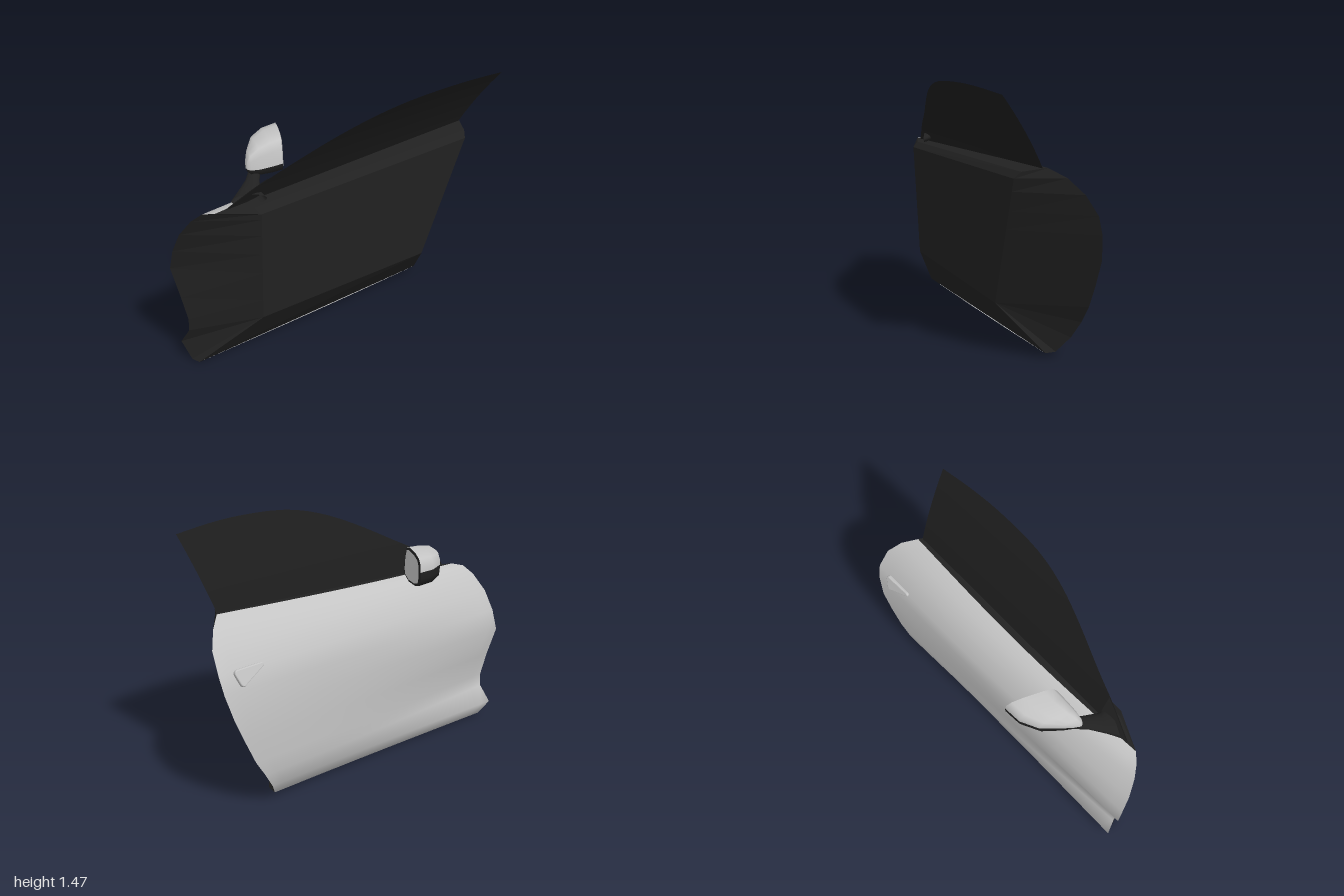
import * as THREE from 'three';
import { mergeVertices } from 'three/addons/utils/BufferGeometryUtils.js';

const lerp = THREE.MathUtils.lerp;
const clamp = THREE.MathUtils.clamp;
const V = (x, y, z) => new THREE.Vector3(x, y, z);
const mix = (a, b, t) => a.clone().lerp(b, t);

// Surface through rows of points; front side is rowDirection x columnDirection
function grid(rows, smooth = true) {
  const pos = [];
  const put = (...ps) => ps.forEach((p) => pos.push(p.x, p.y, p.z));
  for (let r = 0; r < rows.length - 1; r++) {
    for (let c = 0; c < rows[r].length - 1; c++) {
      const a = rows[r][c], b = rows[r][c + 1], d = rows[r + 1][c], e = rows[r + 1][c + 1];
      put(a, d, b, b, d, e);
    }
  }
  let g = new THREE.BufferGeometry();
  g.setAttribute('position', new THREE.Float32BufferAttribute(pos, 3));
  if (smooth) g = mergeVertices(g, 1e-5);
  g.computeVertexNormals();
  return g;
}

export function createModel() {
  const material = (name, color) => {
    const m = new THREE.MeshStandardMaterial({ color, side: THREE.DoubleSide });
    m.name = name;
    return m;
  };
  const silver = material('silverPaint', 0xc4c4c4);
  const dark = material('darkTrim', 0x212121);
  const tint = material('tintedGlass', 0x1c1c1c);

  const door = new THREE.Group();
  door.name = 'carDoor';
  const add = (name, geometry, mat, parent = door) => {
    const m = new THREE.Mesh(geometry, mat);
    m.name = name;
    parent.add(m);
    return m;
  };

  // Door edges from sill to window line
  const front = [
    [-0.11, 0.005, 0.94], [-0.165, 0, 0.955], [-0.23, 0.1, 0.98], [-0.17, 0.2, 0.955],
    [-0.165, 0.28, 0.955], [-0.19, 0.42, 0.975], [-0.235, 0.6, 1], [-0.205, 0.72, 0.99],
    [-0.15, 0.84, 0.97], [-0.08, 0.94, 0.93], [-0.03, 0.99, 0.89], [0.02, 1, 0.84],
  ].map((p) => V(...p));
  const rear = [
    [-0.08, 0.03, -0.66], [-0.14, 0.03, -0.665], [-0.2, 0.12, -0.72], [-0.225, 0.22, -0.78],
    [-0.23, 0.32, -0.84], [-0.23, 0.46, -0.9], [-0.225, 0.6, -0.955], [-0.2, 0.74, -0.99],
    [-0.17, 0.84, -1], [-0.1, 0.95, -0.985], [-0.03, 1.03, -0.93], [0.04, 1.075, -0.86],
  ].map((p) => V(...p));
  const last = front.length - 1;

  // Painted outer skin, bulging slightly at the shoulder
  const skin = front.map((f, i) => {
    const bulge = 0.03 * clamp((i - 6) / 2, 0, 1);
    return Array.from({ length: 25 }, (_, k) => {
      const t = k / 24, p = mix(f, rear[i], t);
      p.x = lerp(f.x, rear[i].x, Math.sin((t * Math.PI) / 2)) - bulge * Math.sin(Math.PI * t);
      return p;
    });
  });
  add('outerSkin', grid(skin), silver);

  // Inner trim: flat panel, sloped sill, window ledge, and both door ends
  const frontLow = V(0.1, 0.3, 0.63), frontHigh = V(0.135, 0.975, 0.63);
  const rearLow = V(0.145, 0.3, -0.51), rearHigh = V(0.185, 1.02, -0.78);
  const ledgeRear = V(0.155, 1.055, -0.8), ledgeFront = V(0.1, 1.005, 0.65);
  const along = (a, b, p) => mix(a, b, clamp((p.y - a.y) / (b.y - a.y), 0, 1));
  add('innerPanel', grid([
    [rear[0], front[0]], [rearLow, frontLow], [rearHigh, frontHigh],
    [ledgeRear, ledgeFront], [rear[last], front[last]],
  ], false), dark);
  add('frontEnd', grid(front.map((p) => [along(frontLow, frontHigh, p), p]), false), dark);
  add('rearEnd', grid(rear.map((p) => [p, along(rearLow, rearHigh, p)]), false), dark);
  add('ledgeRearCorner', grid([[rear[last], rearHigh], [ledgeRear, ledgeRear]], false), dark);
  add('ledgeFrontCorner', grid([[frontHigh, front[last]], [ledgeFront, ledgeFront]], false), dark);
  // Underside of the skin's top edge, closing the strip between skin and ledge
  add('windowSeal', grid([
    [V(0.06, 1.07, -0.85), V(0.03, 1.0, 0.82)],
    skin[last].filter((_, k) => k === 24 || k === 0).reverse(),
  ], false), dark);
  add('windowLedge', grid([skin[last].map((p, k) => mix(ledgeFront, ledgeRear, k / 24)), skin[last]]
    .map((row) => row.slice().reverse()), false), dark);

  // Curved window leaning inwards as it rises
  const roofLine = [
    [0.78, 1.0], [0.6, 1.12], [0.45, 1.2], [0.2, 1.33], [0, 1.41],
    [-0.2, 1.455], [-0.5, 1.47], [-0.7, 1.463], [-0.905, 1.445],
  ];
  const roofCurve = new THREE.CatmullRomCurve3(roofLine.map(([z, y]) => V(0, y, z)));
  const windowRows = (t0, t1, shift) => Array.from({ length: 11 }, (_, r) =>
    Array.from({ length: 25 }, (_, k) => {
      const top = roofCurve.getPoint(lerp(t0, t1, k / 24));
      const s = (0.78 - top.z) / 1.685;
      const low = V(0, lerp(0.985, 1.07, s), lerp(0.78, -0.845, s));
      const p = mix(low, top, r / 10), d = p.y - 0.99;
      p.x = 0.02 + 0.47 * d + 0.4 * d * d + shift;
      return p;
    }));
  add('window', grid(windowRows(0, 1, 0)), tint);
  add('windowCornerTrim', grid(windowRows(0, 0.16, -0.006)), dark);

  // Door handle
  const tri = new THREE.Shape();
  tri.moveTo(-0.07, 0.035);
  tri.quadraticCurveTo(-0.085, 0.03, -0.078, 0.01);
  tri.lineTo(-0.06, -0.04);
  tri.quadraticCurveTo(-0.05, -0.055, -0.035, -0.04);
  tri.lineTo(0.085, 0.025);
  tri.quadraticCurveTo(0.09, 0.035, 0.075, 0.037);
  tri.closePath();
  const handle = add('doorHandle', new THREE.ExtrudeGeometry(tri, {
    depth: 0.012, bevelSize: 0.006, bevelThickness: 0.006, bevelSegments: 2,
  }), silver);
  handle.rotation.set(0, -Math.PI / 2, -0.35, 'ZYX');
  handle.position.set(-0.185, 0.81, -0.83);

  // Wing mirror: sections shrink forwards from the rim
  const mirror = new THREE.Group();
  mirror.name = 'wingMirror';
  door.add(mirror);
  const upper = [[0, 1.16], [0.02, 1.2], [0.12, 1.228], [0.35, 1.243], [0.7, 1.245],
    [0.88, 1.23], [0.96, 1.18], [1, 1.1]];
  const lower = [[1, 1.1], [0.97, 1.06], [0.7, 1.042], [0.3, 1.055], [0.05, 1.08],
    [0, 1.12], [0, 1.16]];
  // outer x, z, inner x, z, height scale
  const sections = [
    [-0.335, 0.22, -0.07, 0.35, 1], [-0.332, 0.32, -0.073, 0.42, 0.96],
    [-0.285, 0.42, -0.08, 0.49, 0.84], [-0.2, 0.5, -0.09, 0.54, 0.58],
    [-0.15, 0.54, -0.1, 0.555, 0.3], [-0.115, 0.56, -0.115, 0.56, 0],
  ];
  const arc = (pts, [ax, az, bx, bz, k]) =>
    pts.map(([s, y]) => V(lerp(ax, bx, s), 1.12 + (y - 1.12) * k, lerp(az, bz, s)));
  add('mirrorCap', grid(sections.map((s) => arc(upper, s))), silver, mirror);
  add('mirrorBase', grid(sections.map((s) => arc(lower, s))), dark, mirror);
  const rim = [...arc(upper, sections[0]), ...arc(lower, sections[0]).slice(1)];
  const hub = V(-0.2, 1.145, 0.285);
  add('mirrorRim', grid([rim.map(() => hub), rim], false), dark, mirror);
  const outward = V(0.44, 0, -0.9).multiplyScalar(0.005);
  const face = rim.map((p) => mix(hub, p, 0.86).add(outward));
  add('mirrorGlass', grid([face.map(() => hub.clone().add(outward)), face], false), silver, mirror);

  // Mirror arm: oval sections widening towards the door
  const arm = [[-0.14, 1.07, 0.49, 0.025, 0.03], [-0.07, 1.06, 0.55, 0.022, 0.035],
    [0, 1.045, 0.62, 0.022, 0.055], [0.05, 1.03, 0.65, 0.03, 0.085]];
  add('mirrorArm', grid(arm.map(([x, y, z, h, w]) => Array.from({ length: 13 }, (_, k) => {
    const a = (k / 12) * Math.PI * 2;
    return V(x - 0.5 * w * Math.cos(a), y + h * Math.sin(a), z + w * Math.cos(a));
  }).reverse())), dark, mirror);

  return door;
}
